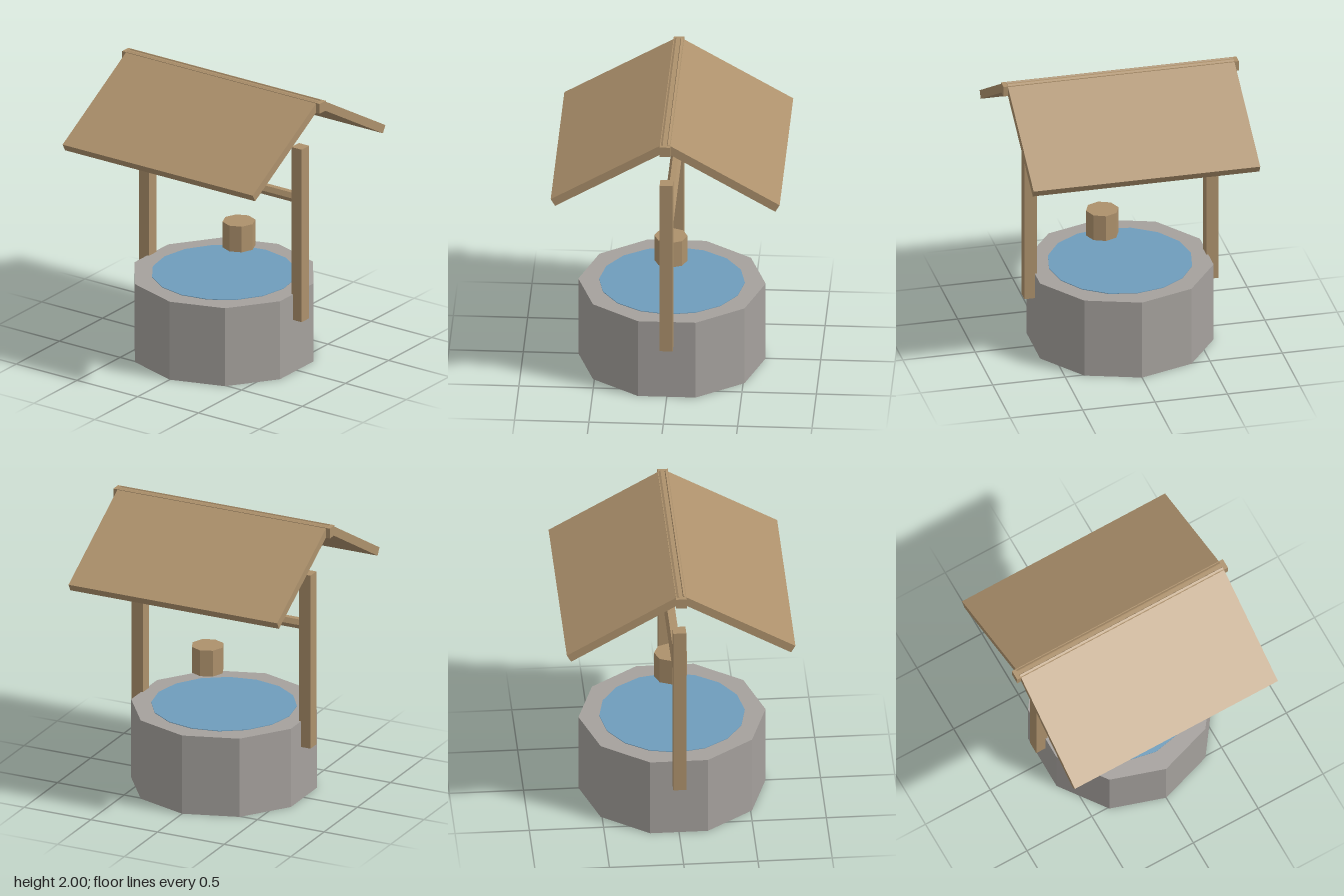
import * as THREE from 'three';

const flat = (name, color) => {
  const m = new THREE.MeshStandardMaterial({ color, flatShading: true });
  m.name = name;
  return m;
};

export function createModel() {
  const group = new THREE.Group();
  group.name = 'wishingWell';
  const wood = flat('wood', 0xad916c);
  const stone = flat('stone', 0xa5a19d);
  const water = flat('water', 0x6f9dbc);

  const add = (name, geometry, material, x, y, z) => {
    const mesh = new THREE.Mesh(geometry, material);
    mesh.name = name;
    mesh.position.set(x, y, z);
    group.add(mesh);
    return mesh;
  };

  // Ten-sided stone base with a thin sheet of water on top
  add('stoneBase', new THREE.CylinderGeometry(0.63, 0.63, 0.565, 10), stone, 0, 0.2825, 0);
  add('waterSurface', new THREE.CylinderGeometry(0.49, 0.49, 0.006, 16), water, 0, 0.566, 0);

  // Posts on either side
  for (const [name, side] of [['leftPost', 1], ['rightPost', -1]]) {
    add(name, new THREE.BoxGeometry(0.085, 1.25, 0.088), wood, side * 0.628, 1.005, 0);
  }

  // Hexagonal axle between the posts
  const axle = add('axle', new THREE.CylinderGeometry(0.038, 0.038, 1.2, 6), wood, 0, 1.255, 0);
  axle.rotation.z = Math.PI / 2;

  // Octagonal bucket
  add('bucket', new THREE.CylinderGeometry(0.112, 0.112, 0.186, 8), wood, 0.123, 0.88, 0);

  // Sloping roof panels and the ridge beam
  for (const [name, side] of [['frontRoof', 1], ['backRoof', -1]]) {
    const panel = add(name, new THREE.BoxGeometry(1.565, 0.058, 0.87), wood, 0, 1.7575, side * 0.3785);
    panel.rotation.x = side * Math.PI / 6;
  }
  add('ridgeBeam', new THREE.BoxGeometry(1.625, 0.071, 0.071), wood, 0, 1.957, 0);

  return group;
}
